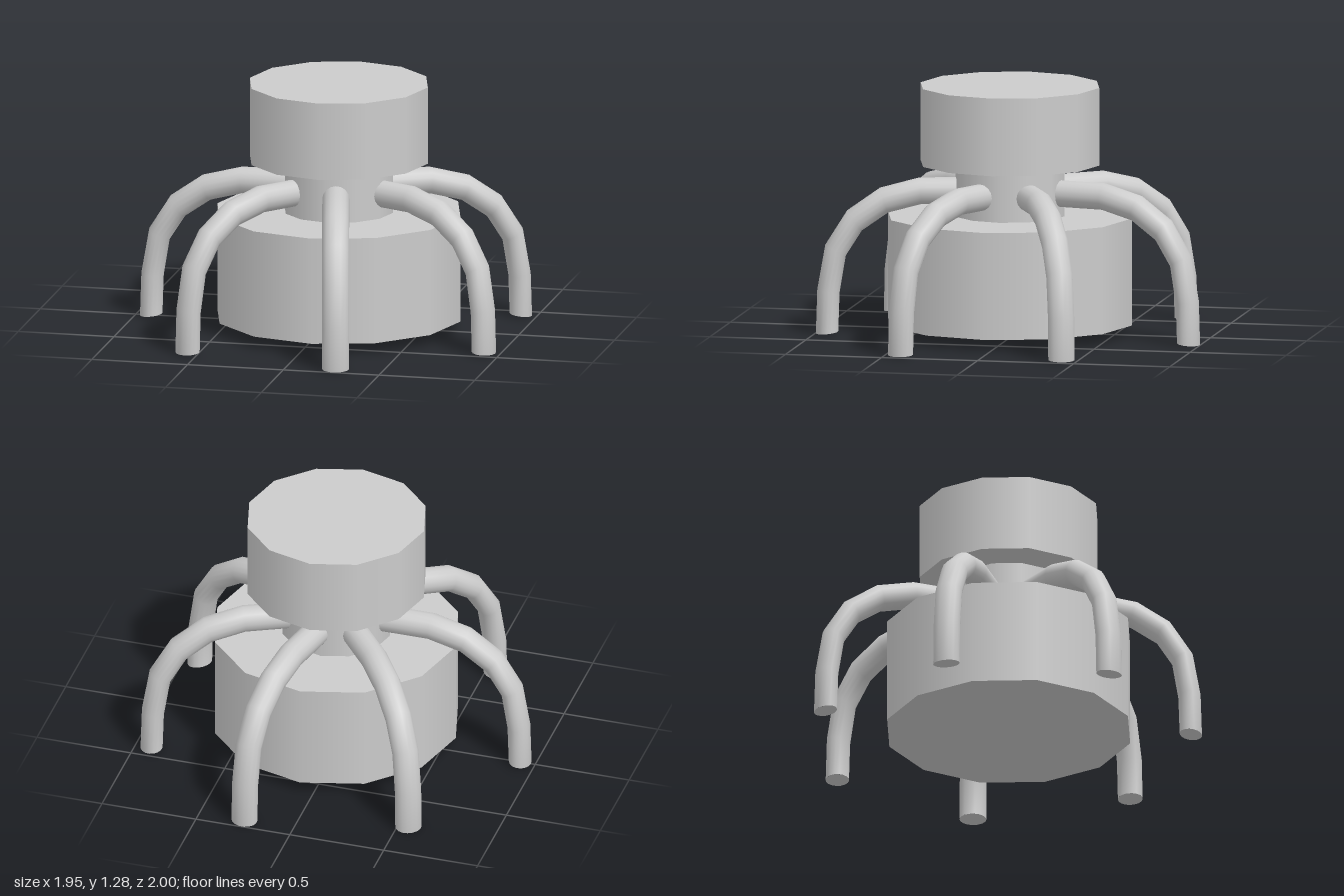
import * as THREE from 'three';
import { mergeGeometries } from 'three/addons/utils/BufferGeometryUtils.js';

const LEGS = 7;
const LEG_RADIUS = 0.069;
const SQUASH = 0.83; // legs are slightly thinner in the radial direction

// Leg centre line as [distance from the ring centre, height]
const LEG_PATH = [
  [0.12, 0.735], [0.49, 0.735], [0.675, 0.687], [0.825, 0.583],
  [0.922, 0.43], [0.958, 0.22], [0.965, 0.007],
].map(([r, y]) => new THREE.Vector3(r / SQUASH, y, 0));

const END_DIRECTION = new THREE.Vector3(-0.08, -1, 0).normalize();

// Faceted curve that passes through each path point at equal parameter steps
class LegCurve extends THREE.Curve {
  getPoint(t, target = new THREE.Vector3()) {
    const n = LEG_PATH.length - 1;
    const i = Math.min(Math.floor(t * n + 1e-6), n - 1);
    return target.lerpVectors(LEG_PATH[i], LEG_PATH[i + 1], t * n - i);
  }
  getPointAt(u, target) {
    return this.getPoint(u, target);
  }
  getTangentAt(u, target = new THREE.Vector3()) {
    if (u > 0.999) return target.copy(END_DIRECTION);
    const step = 1 / (LEG_PATH.length - 1);
    const before = this.getPoint(Math.max(0, u - step));
    const after = this.getPoint(Math.min(1, u + step));
    return target.subVectors(after, before).normalize();
  }
}

// Bent tube with a closed foot
function legGeometry() {
  const tube = new THREE.TubeGeometry(new LegCurve(), LEG_PATH.length - 1, LEG_RADIUS, 16);
  const foot = new THREE.CircleGeometry(LEG_RADIUS, 16);
  foot.applyQuaternion(new THREE.Quaternion().setFromUnitVectors(new THREE.Vector3(0, 0, 1), END_DIRECTION));
  const end = LEG_PATH[LEG_PATH.length - 1];
  foot.translate(end.x, end.y, end.z);
  return mergeGeometries([tube, foot]).scale(SQUASH, 1, 1);
}

export function createModel() {
  const model = new THREE.Group();
  model.name = 'sevenLeggedBody';
  const material = new THREE.MeshStandardMaterial({ color: 0xcccccc });

  // Twelve-sided stacked drums
  const drum = (name, radius, bottom, top) => {
    const mesh = new THREE.Mesh(new THREE.CylinderGeometry(radius, radius, top - bottom, 12), material);
    mesh.name = name;
    mesh.position.set(0.067, (bottom + top) / 2, 0.03);
    model.add(mesh);
  };
  drum('lowerBody', 0.635, 0.062, 0.613);
  drum('neck', 0.283, 0.6, 0.89);
  drum('head', 0.465, 0.88, 1.28);

  // Ring of arched legs
  const legs = new THREE.Group();
  legs.name = 'legs';
  legs.position.x = 0.045;
  const geometry = legGeometry();
  for (let i = 0; i < LEGS; i++) {
    const leg = new THREE.Mesh(geometry, material);
    leg.name = `leg${i + 1}`;
    leg.rotation.y = Math.PI + (i * 2 * Math.PI) / LEGS;
    legs.add(leg);
  }
  model.add(legs);

  return model;
}
